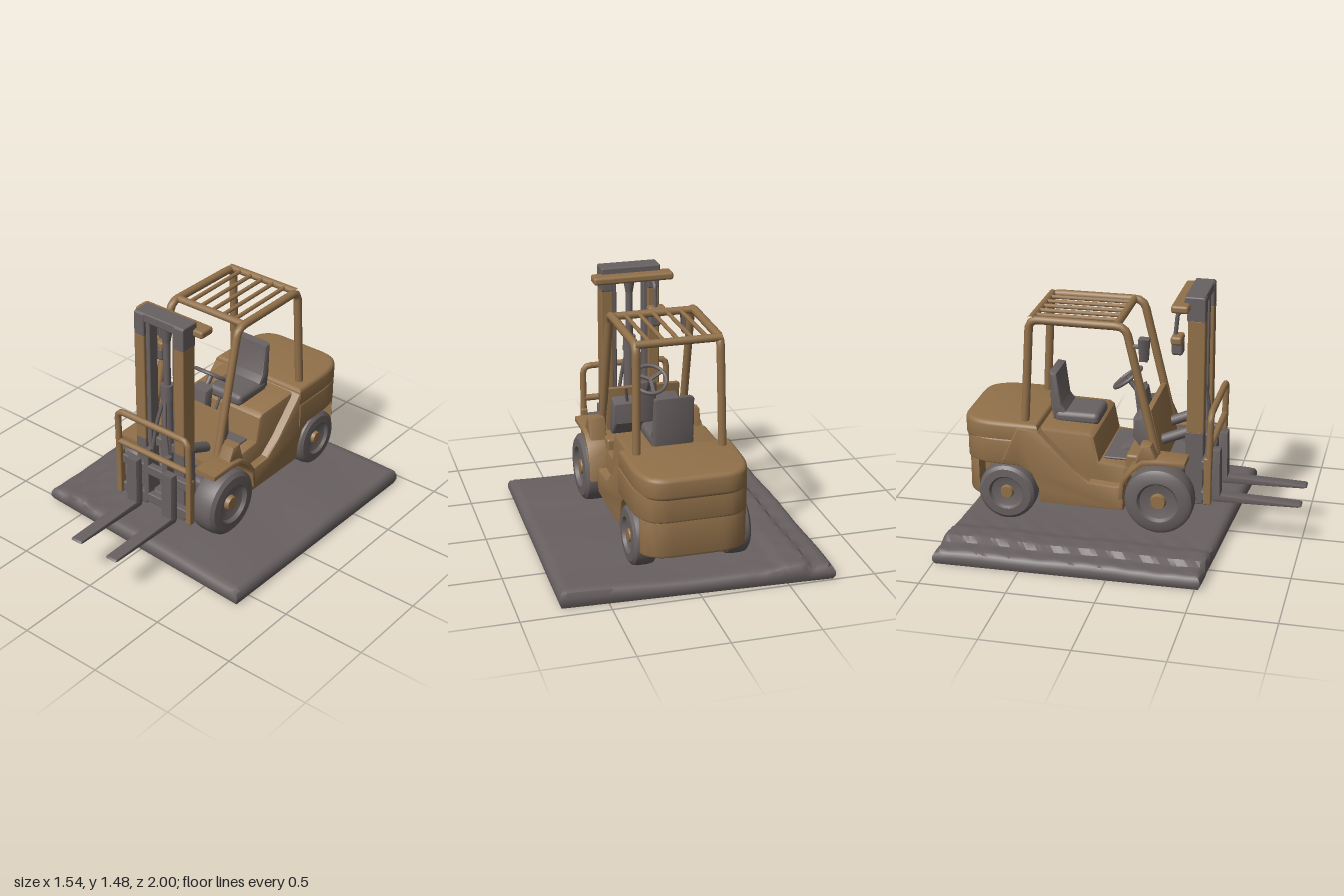
import * as THREE from 'three';
import { RoundedBoxGeometry } from 'three/addons/geometries/RoundedBoxGeometry.js';
import { toCreasedNormals } from 'three/addons/utils/BufferGeometryUtils.js';

const tan = new THREE.MeshStandardMaterial({ color: 0x92714a });
tan.name = 'tan paint';
const grey = new THREE.MeshStandardMaterial({ color: 0x696161 });
grey.name = 'dark grey';

export function createModel() {
  const model = new THREE.Group();
  model.name = 'forklift';
  const V = (x, y, z) => new THREE.Vector3(x, y, z);

  function add(name, geo, mat, x = 0, y = 0, z = 0) {
    const mesh = new THREE.Mesh(geo, mat);
    mesh.name = name;
    mesh.position.set(x, y, z);
    model.add(mesh);
    return mesh;
  }
  // Box given by its ranges along x, y and z
  function box(name, mat, x, y, z, r = 0.008) {
    const s = [x, y, z].map(([a, b]) => b - a);
    return add(name, new RoundedBoxGeometry(...s, 2, Math.min(r, Math.min(...s) * 0.45)), mat,
      (x[0] + x[1]) / 2, (y[0] + y[1]) / 2, (z[0] + z[1]) / 2);
  }
  // Tube along straight runs with rounded corners
  function tube(name, mat, pts, radius, bend = 0.06) {
    const path = new THREE.CurvePath();
    let from = pts[0];
    for (let i = 1; i < pts.length; i++) {
      if (i === pts.length - 1) { path.add(new THREE.LineCurve3(from, pts[i])); break; }
      const a = pts[i].clone().add(pts[i - 1].clone().sub(pts[i]).setLength(bend));
      const b = pts[i].clone().add(pts[i + 1].clone().sub(pts[i]).setLength(bend));
      path.add(new THREE.LineCurve3(from, a));
      path.add(new THREE.QuadraticBezierCurve3(a, pts[i], b));
      from = b;
    }
    return add(name, new THREE.TubeGeometry(path, pts.length > 2 ? 60 : 2, radius, 10), mat);
  }
  // Side profile of [z, y] points, extruded across x
  function profile(name, mat, pts, x0, x1, bevel = 0.012) {
    const shape = new THREE.Shape(pts.map(([z, y]) => new THREE.Vector2(z, y)));
    const depth = x1 - x0 - 2 * bevel;
    const geo = new THREE.ExtrudeGeometry(shape, { depth, bevelThickness: bevel, bevelSize: bevel,
      bevelOffset: -bevel, bevelSegments: 2 });
    geo.translate(0, 0, -depth / 2).rotateY(-Math.PI / 2);
    return add(name, toCreasedNormals(geo, 0.6), mat, (x0 + x1) / 2, 0, 0);
  }
  const cyl = (name, mat, r0, r1, x, y0, y1, z) =>
    add(name, new THREE.CylinderGeometry(r1, r0, y1 - y0, 20), mat, x, (y0 + y1) / 2, z);

  // Uneven ground slab, slightly skewed, with a raised strip on one side
  const slab = new THREE.BoxGeometry(2, 1, 2, 48, 3, 48);
  const p = slab.attributes.position;
  for (let i = 0; i < p.count; i++) {
    const u = p.getX(i), w = p.getZ(i), h = p.getY(i) + 0.5;
    const edge = Math.max(Math.abs(u), Math.abs(w)) > 0.99;
    const x = 0.76 * u + 0.01 * -u * w - 0.0 * w;
    const z = w < 0 || w >= 0 ? -0.195 + 0.04 * u + w * (0.77 + 0.005 * u) : 0;
    let top = 0.092 + 0.006 * Math.sin(5 * x + 2 * z) + 0.004 * Math.sin(9 * z - 3 * x);
    if (x < -0.45 && x > -0.62) top += 0.014;
    if (x < -0.3) top += 0.003 * Math.sin(41 * x) * Math.sin(37 * z);
    if (x < -0.62) top -= 0.012;
    const pull = edge && (h > 0.9 || h < 0.1) ? 0.985 : 1;
    p.setXYZ(i, x * pull, h * (edge ? top - 0.012 : top), -0.195 + (z + 0.195) * pull);
  }
  add('groundSlab', toCreasedNormals(slab, 0.7), grey);

  // Wheels: turned tyre with dished rim and painted hub
  function wheel(name, x, y, z, r, width, side) {
    const w = width / 2;
    const pts = [[0, -w * 0.8], [0.55, -w * 0.8], [0.6, -w], [0.86, -w * 0.96], [0.97, -w * 0.75],
      [1, -w * 0.4], [1, w * 0.4], [0.97, w * 0.75], [0.86, w * 0.96], [0.6, w], [0.53, w * 0.75],
      [0.3, w * 0.6], [0, w * 0.6]].map(([a, b]) => new THREE.Vector2(a * r, b));
    const geo = toCreasedNormals(new THREE.LatheGeometry(pts, 40), 0.6);
    add(name, geo, grey, x, y, z).rotation.z = -side * Math.PI / 2;
    const hub = new THREE.CylinderGeometry(r * 0.2, r * 0.25, width * 0.2, 16);
    add(name + 'Hub', hub, tan, x + side * w * 0.7, y, z).rotation.z = -side * Math.PI / 2;
  }
  wheel('frontRightWheel', -0.258, 0.3, 0.205, 0.2, 0.155, -1);
  wheel('frontLeftWheel', 0.312, 0.3, 0.205, 0.2, 0.17, 1);
  wheel('rearRightWheel', -0.26, 0.27, -0.69, 0.17, 0.14, -1);
  wheel('rearLeftWheel', 0.27, 0.27, -0.69, 0.17, 0.14, 1);
  box('frontAxle', grey, [-0.2, 0.26], [0.21, 0.45], [0.05, 0.32], 0.03);
  box('rearAxle', grey, [-0.22, 0.23], [0.22, 0.34], [-0.76, -0.62], 0.02);

  // Body: engine hood, side skirts and front floor
  profile('hood', tan, [[0.0, 0.22], [0.02, 0.46], [-0.01, 0.48], [-0.15, 0.49], [-0.18, 0.64], [-0.21, 0.66],
    [-0.62, 0.67], [-0.62, 0.44], [-0.54, 0.4], [-0.5, 0.22]], -0.26, 0.28, 0.02);
  profile('sideSkirts', tan, [[0.0, 0.22], [0.01, 0.38], [-0.05, 0.37], [-0.2, 0.38], [-0.3, 0.46], [-0.5, 0.67],
    [-0.62, 0.68], [-0.72, 0.46], [-0.62, 0.45], [-0.54, 0.4], [-0.5, 0.31], [-0.49, 0.22]], -0.315, 0.33);
  box('floorMat', grey, [-0.2, 0.22], [0.485, 0.5], [-0.14, 0.06]);
  box('frontFloor', tan, [-0.24, 0.27], [0.4, 0.54], [0.0, 0.2], 0.015);

  // Counterweight: rounded plan, extruded upwards in tiers
  function tier(name, front, back, half, y0, y1, bevel) {
    const s = new THREE.Shape();
    s.moveTo(-half, front);
    s.lineTo(half, front);
    s.lineTo(half * 0.99, Math.max(front, back - 0.22));
    s.bezierCurveTo(half * 0.97, back - 0.06, half * 0.8, back, half * 0.45, back);
    s.lineTo(-half * 0.45, back);
    s.bezierCurveTo(-half * 0.8, back, -half * 0.97, back - 0.06, -half * 0.99, Math.max(front, back - 0.22));
    const geo = new THREE.ExtrudeGeometry(s, { depth: y1 - y0 - 2 * bevel, bevelThickness: bevel, bevelSize: bevel,
      bevelOffset: -bevel, bevelSegments: 3, curveSegments: 14 });
    geo.rotateX(-Math.PI / 2);
    add(name, toCreasedNormals(geo, 0.7), tan, 0.012, y0 + bevel, 0);
  }
  tier('counterweightTop', 0.5, 0.965, 0.32, 0.57, 0.7, 0.025);
  tier('counterweightMiddle', 0.5, 0.955, 0.325, 0.44, 0.6, 0.012);
  tier('counterweightBottom', 0.86, 0.95, 0.3, 0.23, 0.46, 0.015);
  box('counterweightCore', tan, [-0.17, 0.19], [0.24, 0.5], [-0.9, -0.48]);

  // Front fenders
  const fender = [[0.36, 0.53], [0.36, 0.56], [0.2, 0.565], [0.11, 0.55], [0.04, 0.5], [-0.01, 0.42], [-0.03, 0.3],
    [0.0, 0.3], [0.01, 0.4], [0.06, 0.475], [0.12, 0.52], [0.2, 0.535]];
  profile('rightFender', tan, fender, -0.335, -0.19, 0.006);
  profile('leftFender', tan, fender, 0.235, 0.38, 0.006);
  for (const [x0, x1] of [[-0.32, -0.22], [0.255, 0.355]])
    profile('fenderStep', tan, [[0.2, 0.55], [0.16, 0.64], [0.1, 0.64], [0.06, 0.5]], x0, x1);

  // Cowl, dashboard and steering
  profile('cowl', tan, [[0.21, 0.5], [0.14, 0.81], [0.11, 0.81], [0.15, 0.5]], -0.2, 0.24);
  profile('dashboard', grey, [[0.15, 0.54], [0.115, 0.76], [0.03, 0.74], [0.03, 0.62], [0.1, 0.52]], -0.18, 0.22, 0.015);
  profile('steeringPod', grey, [[0.12, 0.6], [0.07, 0.86], [0.0, 0.87], [0.03, 0.62]], -0.03, 0.08, 0.015);
  tube('steeringColumn', grey, [V(0.025, 0.8, 0.04), V(0.025, 0.905, -0.045)], 0.016);
  const steer = new THREE.Group();
  steer.name = 'steeringWheel';
  steer.position.set(0.025, 0.908, -0.045);
  steer.rotation.x = -Math.PI / 2 - 0.65;
  steer.add(new THREE.Mesh(new THREE.TorusGeometry(0.095, 0.011, 10, 36), grey));
  for (let i = 0; i < 3; i++) {
    const spoke = new THREE.Mesh(new THREE.BoxGeometry(0.018, 0.095, 0.012).translate(0, 0.047, 0), grey);
    spoke.rotation.z = i * Math.PI * 2 / 3;
    steer.add(spoke);
  }
  model.add(steer);
  tube('lever', grey, [V(0.13, 0.72, 0.07), V(0.15, 0.84, 0.03)], 0.009);
  profile('pedals', grey, [[0.06, 0.5], [0.04, 0.54], [-0.07, 0.5], [-0.07, 0.48]], -0.08, 0.14, 0.005);

  // Seat
  box('seatCushion', grey, [-0.12, 0.125], [0.645, 0.72], [-0.45, -0.185], 0.03);
  profile('seatBack', grey, [[-0.36, 0.69], [-0.41, 0.76], [-0.435, 0.95], [-0.48, 0.955], [-0.475, 0.76], [-0.46, 0.66]],
    -0.11, 0.12, 0.018);

  // Overhead guard
  for (const x of [-0.235, 0.255])
    tube('guardSide', tan, [V(x, 0.53, 0.185), V(x * 0.98, 1.31, 0.0), V(x * 0.96, 1.31, -0.555), V(x, 0.68, -0.59)], 0.024, 0.055);
  for (const z of [-0.055, -0.545])
    tube('guardCrossbar', tan, [V(-0.235, 1.31, z), V(0.25, 1.31, z)], 0.022);
  for (let i = -2; i <= 2; i++)
    tube('roofBar', tan, [V(i * 0.08 + 0.015, 1.315, -0.05), V(i * 0.08 + 0.005, 1.315, -0.55)], 0.012);
  add('headlamp', new THREE.CylinderGeometry(0.042, 0.032, 0.13, 4, 1).rotateY(Math.PI / 4), grey, -0.232, 1.185, 0.105);
  tube('headlampBracket', grey, [V(-0.232, 1.2, 0.1), V(-0.235, 1.2, 0.03)], 0.012);

  // Mast: painted rails with bare ends, and inner rails
  for (const [x0, x1, inner] of [[-0.135, -0.065, -0.055], [0.145, 0.215, 0.135]]) {
    box('mastRail', tan, [x0, x1], [0.66, 1.34], [0.33, 0.43]);
    box('mastRailTop', grey, [x0, x1], [1.33, 1.47], [0.325, 0.43]);
    box('mastRailFoot', grey, [x0, x1], [0.22, 0.67], [0.325, 0.43]);
    box('innerRail', grey, [inner - 0.015, inner + 0.015], [0.25, 1.44], [0.34, 0.41]);
    tube('tiltCylinder', grey, [V((x0 + x1) / 2, 0.67, 0.36), V((x0 + x1) / 2, 0.58, 0.15)], 0.03);
  }
  box('mastHead', grey, [-0.135, 0.215], [1.42, 1.475], [0.31, 0.425]);
  box('mastTopBar', tan, [-0.2, 0.275], [1.395, 1.44], [0.245, 0.345], 0.015);
  box('mastLowerBar', grey, [-0.13, 0.21], [0.24, 0.32], [0.33, 0.41]);
  box('mastMiddleBar', grey, [-0.13, 0.21], [0.6, 0.66], [0.32, 0.37]);

  // Lift cylinder and hoses
  cyl('liftCylinder', grey, 0.038, 0.034, 0.04, 0.28, 0.96, 0.36);
  cyl('liftCollar', grey, 0.04, 0.036, 0.04, 0.95, 1.04, 0.36);
  cyl('liftRod', grey, 0.021, 0.021, 0.04, 1.0, 1.42, 0.36);
  cyl('liftHead', grey, 0.022, 0.042, 0.04, 1.31, 1.43, 0.36);
  for (const s of [-1, 1])
    tube('hose', grey, [V(0.04, 0.98, 0.38), V(0.04 + s * 0.03, 0.8, 0.42), V(0.04 + s * 0.075, 0.5, 0.43)], 0.011);
  box('mastLampHousing', tan, [-0.15, -0.045], [1.19, 1.24], [0.235, 0.3], 0.015);
  box('mastLamp', grey, [-0.12, -0.05], [1.12, 1.2], [0.235, 0.3], 0.015);
  tube('mastLampBracket', grey, [V(-0.09, 1.2, 0.25), V(-0.09, 1.36, 0.265), V(-0.09, 1.4, 0.33)], 0.012, 0.02);

  // Fork carriage and load backrest
  for (const y of [0.28, 0.47])
    box('carriageBar', grey, [-0.21, 0.28], [y, y + 0.06], [0.43, 0.475]);
  for (const x of [-0.03, 0.11])
    box('carriagePlate', grey, [x - 0.018, x + 0.018], [0.3, 0.63], [0.42, 0.475]);
  tube('backrestFrame', tan, [V(-0.222, 0.28, 0.475), V(-0.222, 0.825, 0.486), V(0.295, 0.825, 0.486), V(0.295, 0.28, 0.475)],
    0.019, 0.05);
  tube('backrestBar', tan, [V(-0.222, 0.622, 0.482), V(0.295, 0.622, 0.482)], 0.019);
  for (const x of [-0.222, 0.295])
    box('backrestFoot', tan, [x - 0.018, x + 0.018], [0.27, 0.56], [0.45, 0.495]);

  // Forks
  for (const [x0, x1] of [[-0.13, -0.057], [0.13, 0.203]])
    profile('fork', grey, [[0.475, 0.565], [0.525, 0.565], [0.53, 0.285], [0.99, 0.272], [1.0, 0.262], [0.98, 0.255],
      [0.55, 0.245], [0.49, 0.243], [0.475, 0.26]], x0, x1, 0.004);

  return model;
}
